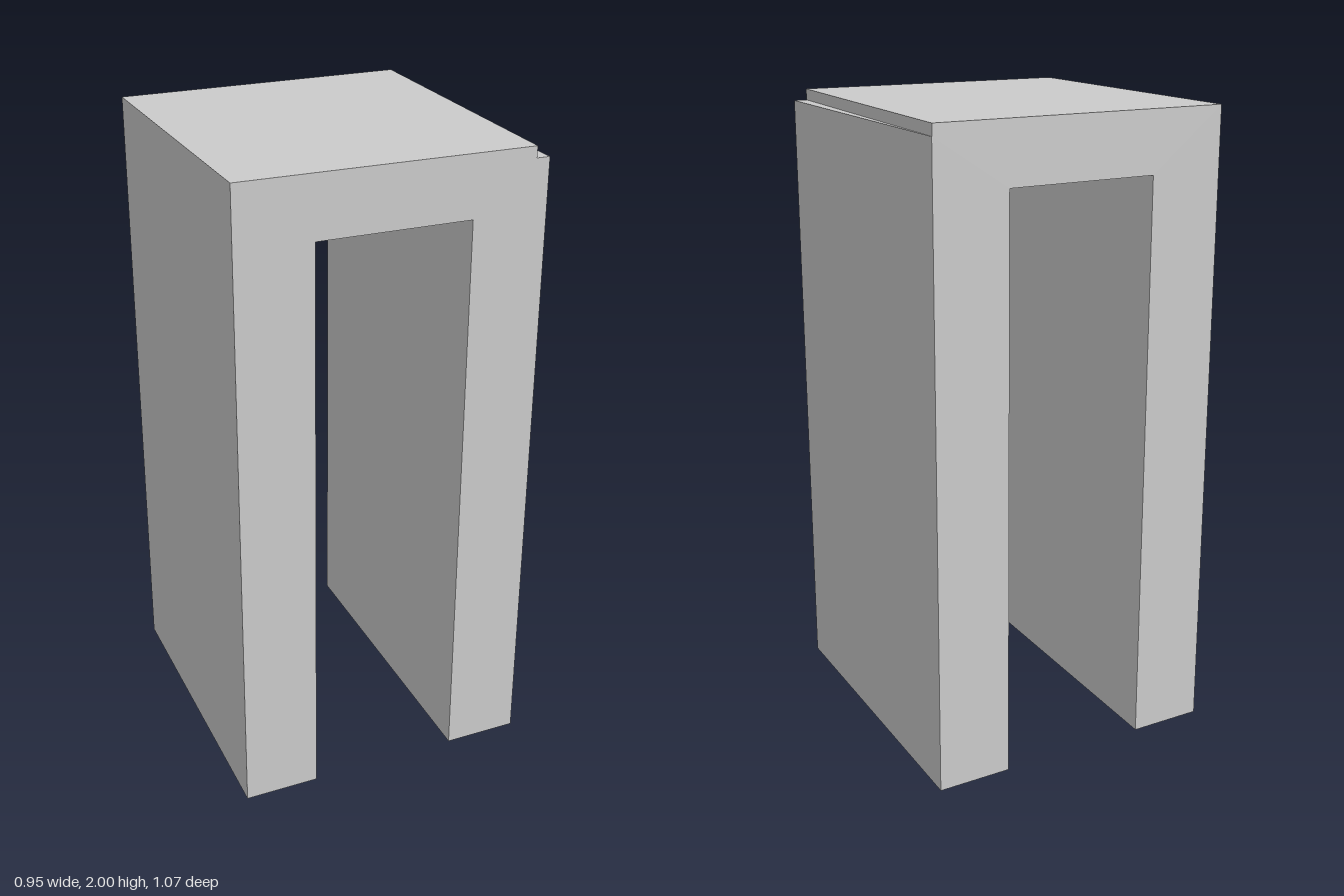
import * as THREE from 'three';

const W = 0.477;      // half width
const INNER = 0.24;   // half width of the opening
const LINTEL = 1.81;  // top of the opening
const TOP = 2;
const STEP = 1.965;   // floor of the corner rebate
const NOTCH = 0.435;  // rebate wall at the front

export function createModel() {
  const group = new THREE.Group();
  group.name = 'archway';

  // Square arch outline with a small rebate in the upper left corner
  const outline = new THREE.Shape([
    [-W, 0], [-INNER, 0], [-INNER, LINTEL], [INNER, LINTEL], [INNER, 0],
    [W, 0], [W, STEP], [NOTCH, STEP], [NOTCH, TOP], [-W, TOP],
  ].map(([x, y]) => new THREE.Vector2(x, y)));
  const geometry = new THREE.ExtrudeGeometry(outline, { depth: 1, bevelEnabled: false });

  // Skew both end faces and taper the rebate away towards the back
  const p = geometry.attributes.position;
  for (let i = 0; i < p.count; i++) {
    let x = p.getX(i);
    const isFront = p.getZ(i) > 0.5;
    if (!isFront && Math.abs(x - NOTCH) < 1e-4) x = W - 0.001;
    const t = (x + W) / (2 * W);
    const z = isFront
      ? THREE.MathUtils.lerp(0.533, 0.518, t)
      : THREE.MathUtils.lerp(-0.495, -0.535, t);
    p.setX(i, x);
    p.setZ(i, z);
  }
  geometry.computeVertexNormals();

  const arch = new THREE.Mesh(
    geometry,
    new THREE.MeshStandardMaterial({ color: 0xcccccc, flatShading: true }),
  );
  arch.name = 'arch';
  group.add(arch);
  return group;
}
